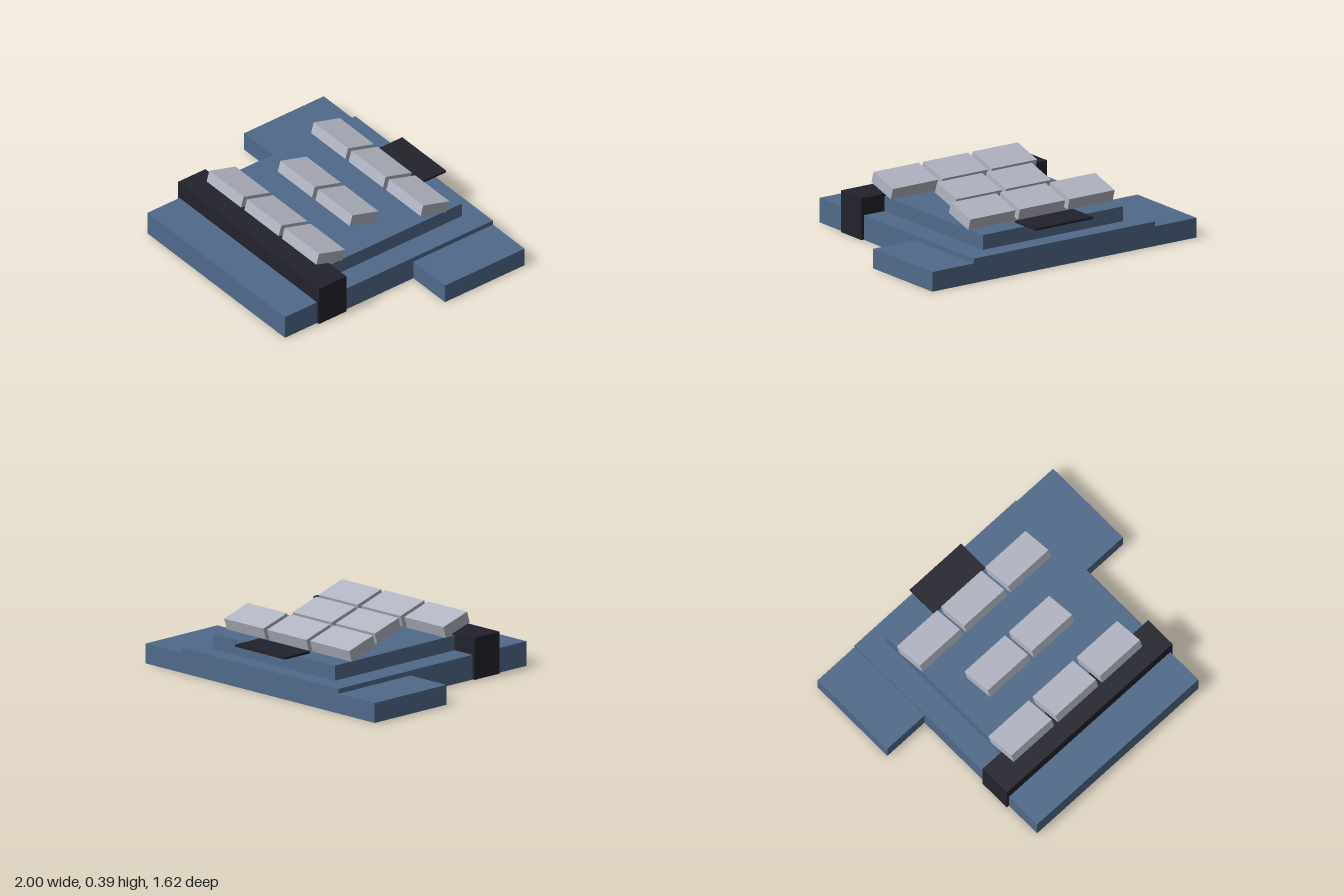
import * as THREE from 'three';

export function createModel() {
  const model = new THREE.Group();
  const material = (name, color) => {
    const m = new THREE.MeshStandardMaterial({ color });
    m.name = name;
    return m;
  };
  const blue = material('slateBlue', 0x506a8a);
  const dark = material('charcoal', 0x22222c);
  const grey = material('paleGrey', 0xb2b6c3);

  // Box given by its extents on each axis
  const block = (name, mat, [x0, x1], [y0, y1], [z0, z1]) => {
    const mesh = new THREE.Mesh(new THREE.BoxGeometry(x1 - x0, y1 - y0, z1 - z0), mat);
    mesh.name = name;
    mesh.position.set((x0 + x1) / 2, (y0 + y1) / 2, (z0 + z1) / 2);
    model.add(mesh);
  };

  // Stepped body
  block('baseSlab', blue, [-0.685, 0.685], [0, 0.157], [-0.81, 0.81]);
  block('upperDeck', blue, [-0.53, 0.53], [0.157, 0.252], [-0.69, 0.36]);

  // Low wings at the rear corners
  block('leftWing', blue, [0.685, 1], [0, 0.126], [-0.81, -0.19]);
  block('rightWing', blue, [-1, -0.685], [0, 0.126], [-0.81, -0.19]);

  // Dark bar across the front and thin plate overhanging the back
  block('frontBar', dark, [-0.703, 0.703], [0.001, 0.268], [0.345, 0.56]);
  block('rearPlate', dark, [-0.218, 0.218], [0.254, 0.268], [-0.81, -0.595]);

  // Three rows of tiles, raised at the front edge
  const tileGeometry = new THREE.BoxGeometry(0.342, 0.075, 0.213);
  const rows = [
    { name: 'frontTile', z: 0.345, count: 3 },
    { name: 'middleTile', z: -0.062, count: 2 },
    { name: 'rearTile', z: -0.468, count: 3 },
  ];
  for (const { name, z, count } of rows) {
    for (let i = 0; i < count; i++) {
      const tile = new THREE.Mesh(tileGeometry, grey);
      tile.name = name + (i + 1);
      tile.position.set((i - (count - 1) / 2) * 0.375, 0.322, z);
      tile.rotation.x = -0.29;
      model.add(tile);
    }
  }
  return model;
}
